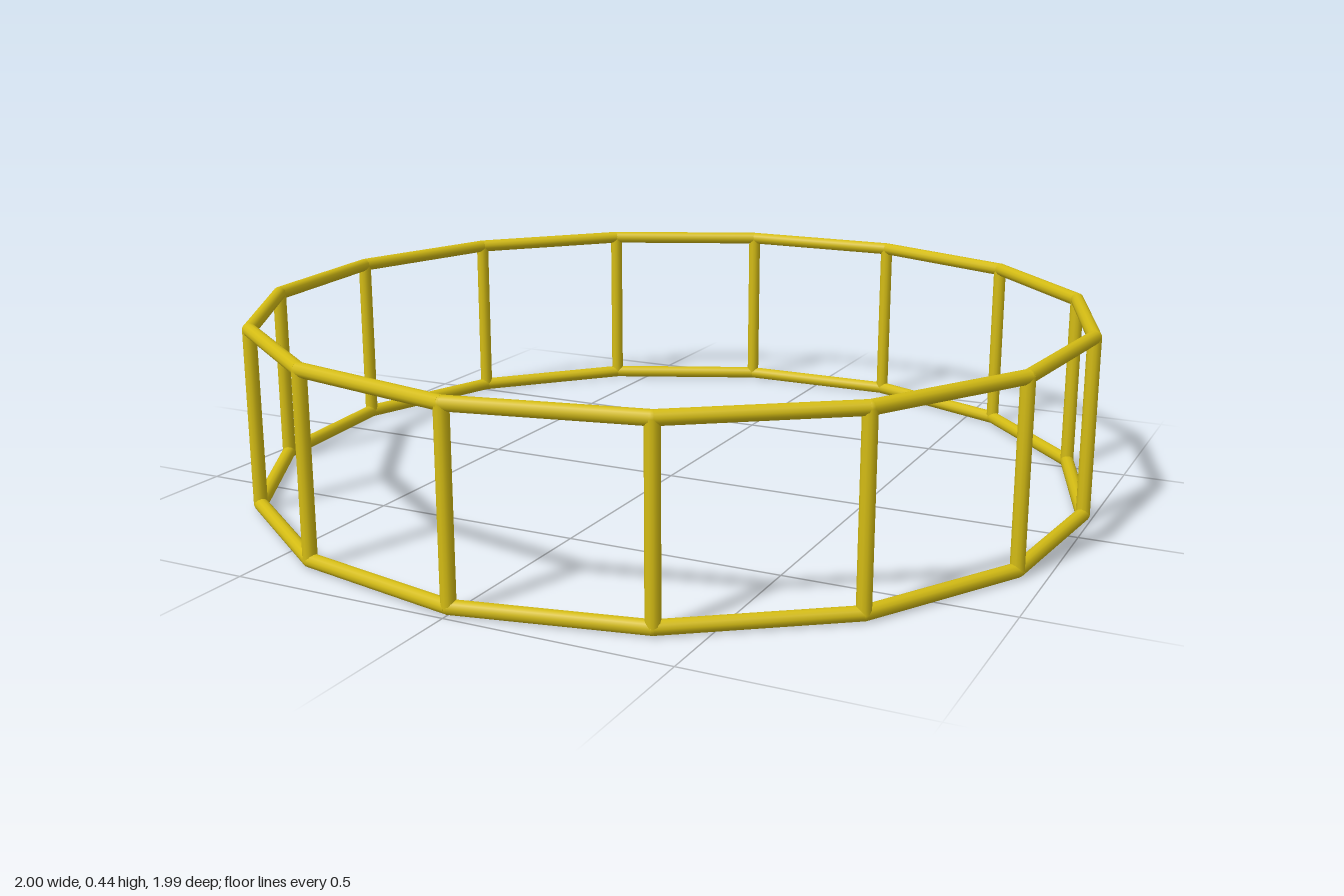
import * as THREE from 'three';

const SIDES = 15;
const R = 0.989; // corner radius of the ring
const r = 0.016; // rod radius
const SIDE = 2 * R * Math.sin(Math.PI / SIDES); // square panels
const Z_SHIFT = -(R / 2) * (1 - Math.cos(Math.PI / SIDES)); // centres the odd polygon

const material = new THREE.MeshStandardMaterial({ color: 0xd4bc14 });
const rodGeometry = new THREE.CylinderGeometry(r, r, SIDE, 12);
const jointGeometry = new THREE.SphereGeometry(r, 12, 8);

// Straight rod between two points
function rod(name, a, b) {
  const mesh = new THREE.Mesh(rodGeometry, material);
  mesh.name = name;
  mesh.position.copy(a).add(b).multiplyScalar(0.5);
  const dir = b.clone().sub(a).normalize();
  mesh.quaternion.setFromUnitVectors(new THREE.Vector3(0, 1, 0), dir);
  return mesh;
}

// Rounded corner where rods meet
function joint(p) {
  const mesh = new THREE.Mesh(jointGeometry, material);
  mesh.name = 'cornerJoint';
  mesh.position.copy(p);
  return mesh;
}

// Corner of the polygon, the first one pointing forward
function corner(i, y) {
  const a = (i / SIDES) * Math.PI * 2;
  return new THREE.Vector3(R * Math.sin(a), y, R * Math.cos(a) + Z_SHIFT);
}

export function createModel() {
  const model = new THREE.Group();
  model.name = 'prismFrame';
  const low = r, high = r + SIDE;

  // Bottom and top polygon rings
  for (const [name, y] of [['bottomRing', low], ['topRing', high]]) {
    const ring = new THREE.Group();
    ring.name = name;
    for (let i = 0; i < SIDES; i++) {
      ring.add(rod('ringRod', corner(i, y), corner(i + 1, y)), joint(corner(i, y)));
    }
    model.add(ring);
  }

  // Upright rods at every corner
  const uprights = new THREE.Group();
  uprights.name = 'uprights';
  for (let i = 0; i < SIDES; i++) {
    uprights.add(rod('upright', corner(i, low), corner(i, high)));
  }
  model.add(uprights);

  return model;
}
